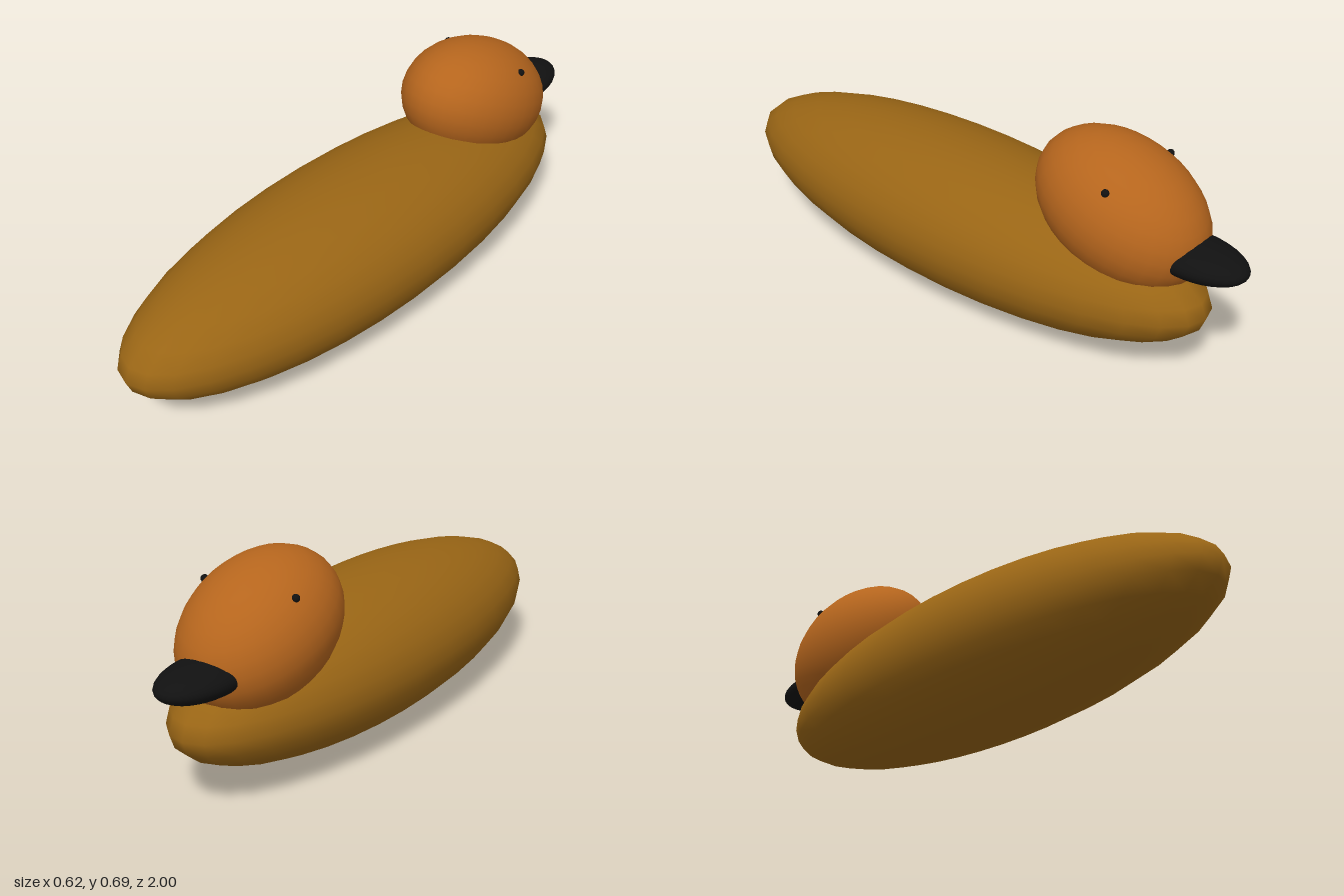
import * as THREE from 'three';

// Smooth ellipsoid with given radii, position and pitch about x
function ellipsoid(name, color, radii, position, pitch = 0, segments = 32) {
  const mesh = new THREE.Mesh(
    new THREE.SphereGeometry(1, segments, segments / 2),
    new THREE.MeshStandardMaterial({ color })
  );
  mesh.name = name;
  mesh.scale.set(...radii);
  mesh.position.set(...position);
  mesh.rotation.x = pitch;
  return mesh;
}

export function createModel() {
  const model = new THREE.Group();
  model.name = 'duck';
  const headX = -0.026;

  // Long, flat body
  model.add(ellipsoid('body', 0x996515, [0.31, 0.238, 0.95], [0, 0.24, 0.05]));

  // Head, tipped down towards the beak
  model.add(ellipsoid('head', 0xb5651d, [0.217, 0.202, 0.296], [headX, 0.475, -0.567], -0.373));

  // Flattened beak, its rear half sunk in the head
  model.add(ellipsoid('beak', 0x111111, [0.105, 0.052, 0.18], [headX, 0.414, -0.82]));

  // Eyes on both sides of the head
  for (const side of [-1, 1]) {
    model.add(ellipsoid(side > 0 ? 'leftEye' : 'rightEye', 0x111111,
      [0.012, 0.012, 0.012], [headX + side * 0.158, 0.605, -0.615], 0, 16));
  }
  return model;
}
